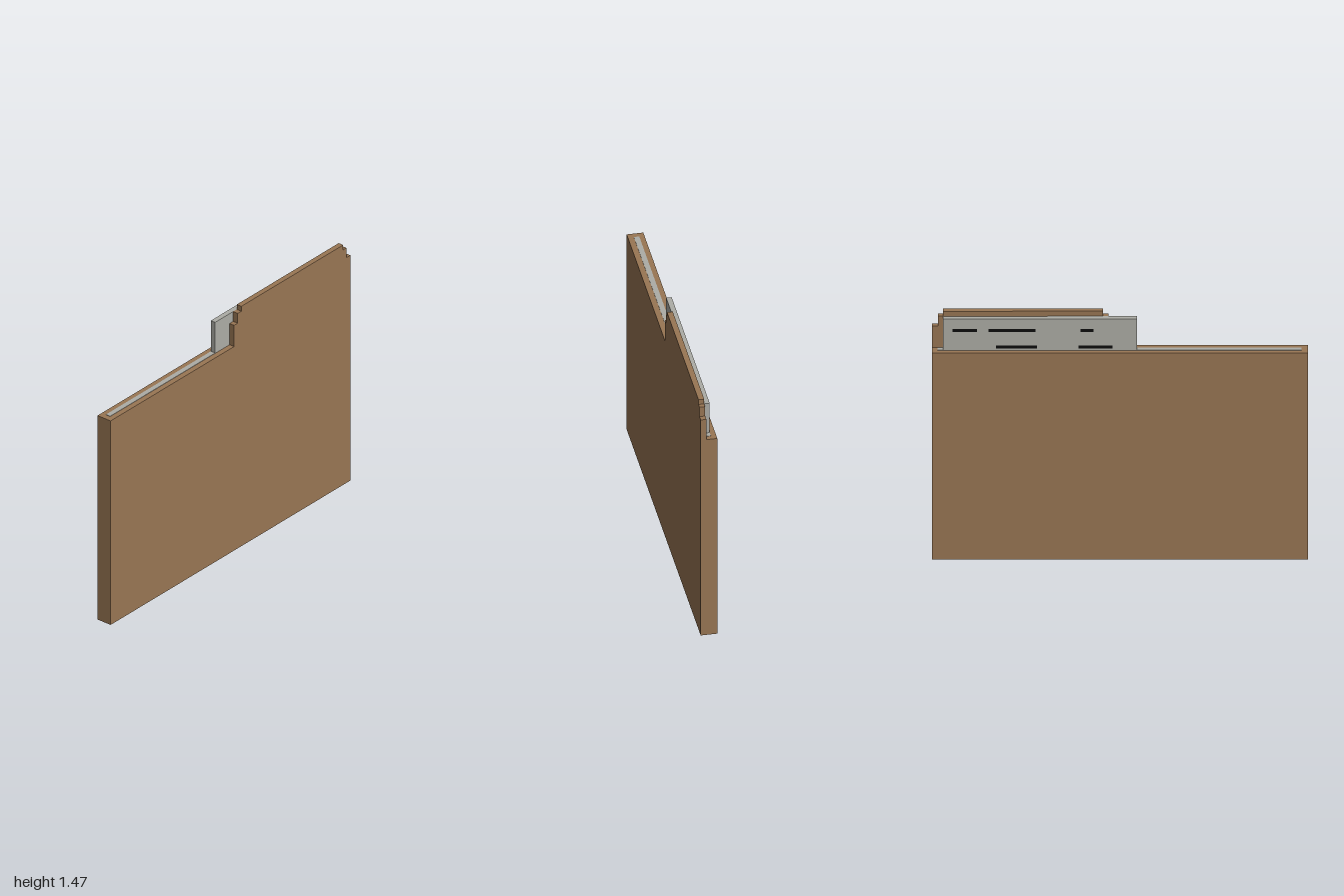
import * as THREE from 'three';

const material = (name, color) => {
  const m = new THREE.MeshStandardMaterial({ color });
  m.name = name;
  return m;
};

export function createModel() {
  const group = new THREE.Group();
  group.name = 'fileFolder';
  const cardboard = material('brown cardboard', 0x997654);
  const paper = material('grey paper', 0xadada6);
  const ink = material('black ink', 0x0c0c0c);

  // Box given by its lower and upper limits on each axis
  const box = (name, mat, [x0, x1], [y0, y1], [z0, z1]) => {
    const mesh = new THREE.Mesh(new THREE.BoxGeometry(x1 - x0, y1 - y0, z1 - z0), mat);
    mesh.position.set((x0 + x1) / 2, (y0 + y1) / 2, (z0 + z1) / 2);
    mesh.name = name;
    group.add(mesh);
  };

  // Closed folder
  box('folderBody', cardboard, [-0.045, 0.045], [0, 1.25], [-1, 1]);

  // Raised tab with stepped corners, drawn in (z, y) and extruded across x
  const steps = [
    [-0.03, 1.25], [-0.03, 1.38], [-0.06, 1.38], [-0.06, 1.44], [-0.09, 1.44], [-0.09, 1.47],
    [-0.94, 1.47], [-0.94, 1.44], [-0.967, 1.44], [-0.967, 1.38], [-1, 1.38], [-1, 1.25],
  ];
  const outline = new THREE.Shape(steps.map(([z, y]) => new THREE.Vector2(z, y)));
  const tabGeometry = new THREE.ExtrudeGeometry(outline, { depth: 0.031, bevelEnabled: false });
  tabGeometry.rotateY(-Math.PI / 2).translate(0.045, 0, 0);
  const tab = new THREE.Mesh(tabGeometry, cardboard);
  tab.name = 'folderTab';
  group.add(tab);

  // Edge of the papers inside, and one sheet standing proud
  box('paperEdges', paper, [-0.016, 0.013], [1.245, 1.252], [-0.97, 0.965]);
  box('raisedSheet', paper, [-0.016, 0.0135], [1.25, 1.44], [-0.94, 0.09]);

  // Plain dark dashes on the sheet: z start, z end, height
  const dashes = [
    [-0.89, -0.76, 1.37], [-0.7, -0.45, 1.37], [-0.21, -0.14, 1.37],
    [-0.66, -0.44, 1.27], [-0.22, -0.04, 1.27],
  ];
  for (const [z0, z1, y] of dashes) {
    box('printedDash', ink, [-0.018, -0.015], [y - 0.009, y + 0.009], [z0, z1]);
  }
  return group;
}
